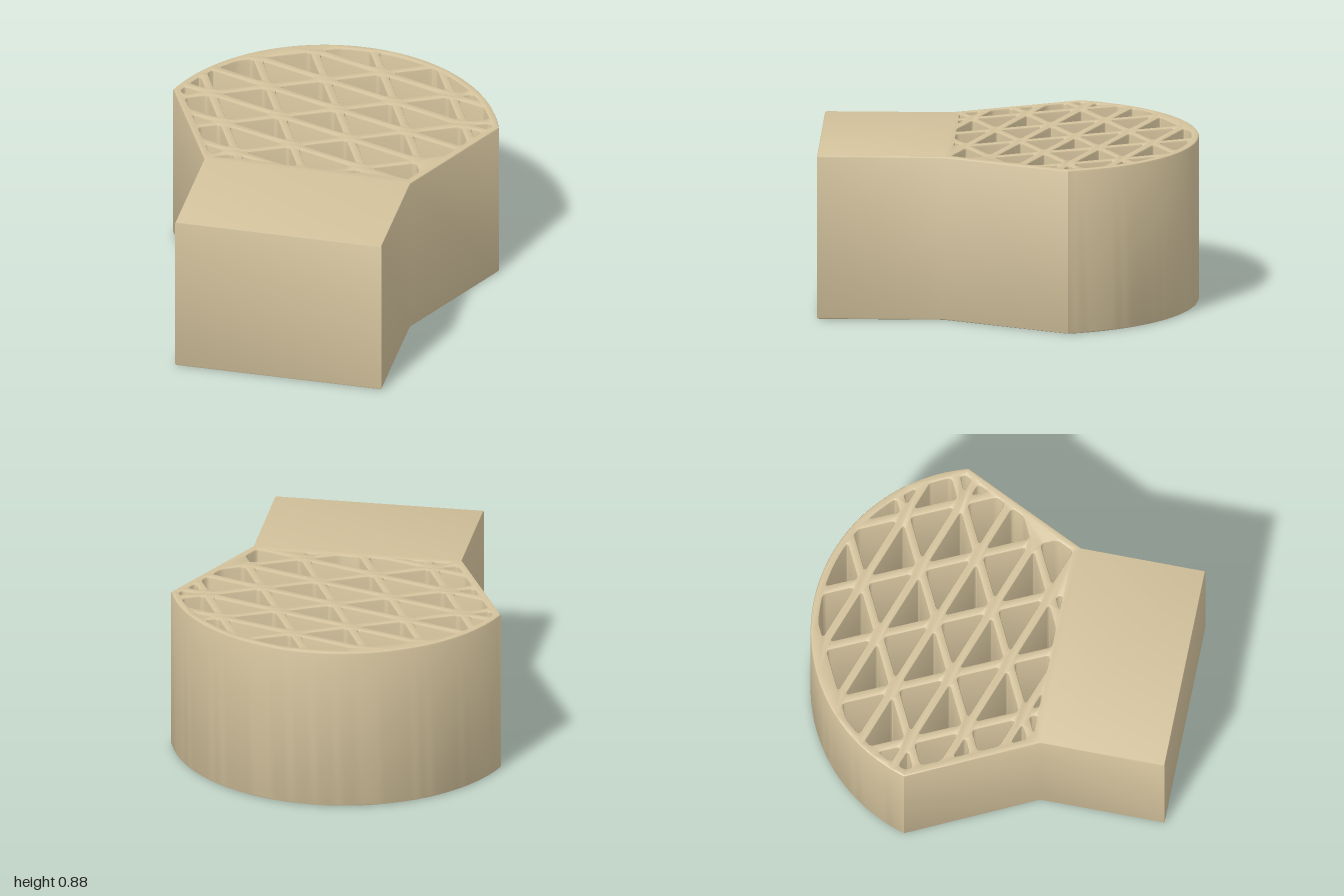
import * as THREE from 'three';
import { toCreasedNormals } from 'three/addons/utils/BufferGeometryUtils.js';

const HEIGHT = 0.885, BEVEL = 0.01;
const ARC_R = 0.923, ARC_Z = -0.077;   // rounded back of the head
const WALL = 0.042, BAR = 0.046;       // outer wall and lattice bar thickness

const V = (x, z) => new THREE.Vector2(x, z);

// Keep the part of a convex polygon where n.p <= d
function clip(poly, { n, d }) {
  const out = [];
  poly.forEach((p, i) => {
    const q = poly[(i + 1) % poly.length];
    const a = n.dot(p) - d, b = n.dot(q) - d;
    if (a <= 0) out.push(p);
    if (a * b < 0) out.push(p.clone().lerp(q, a / (a - b)));
  });
  return out.filter((p, i) => p.distanceTo(out[(i + 1) % out.length]) > 0.004);
}

// Half-plane left of the edge p to q, on the side of c, moved inwards
function edgePlane(p, q, c, inset) {
  const n = V(q.y - p.y, p.x - q.x).normalize();
  if (n.dot(c) > n.dot(p)) n.negate();
  return { n, d: n.dot(p) - inset };
}

// Inside of the head: curved back, flared sides, front limit at the solid block
function headPlanes() {
  const c = V(0, -0.1), planes = [{ n: V(0, 1), d: 0.285 }];
  for (const s of [1, -1]) planes.push(edgePlane(V(s * 0.56, 0.33), V(s * 0.885, -0.34), c, WALL));
  for (let deg = 196; deg <= 344; deg += 4) {
    const t = THREE.MathUtils.degToRad(deg), n = V(Math.cos(t), Math.sin(t));
    planes.push({ n, d: n.y * ARC_Z + ARC_R - WALL });
  }
  return planes;
}

// Closed path through a polygon with its corners rounded
function roundedPath(poly, radius) {
  const path = new THREE.Path();
  poly.forEach((p, i) => {
    const k = poly.length, prev = poly[(i + k - 1) % k], next = poly[(i + 1) % k];
    const towards = (o) => p.clone().lerp(o, Math.min(radius / p.distanceTo(o), 0.4));
    const a = towards(prev), b = towards(next);
    if (i === 0) path.moveTo(a.x, -a.y);
    else path.lineTo(a.x, -a.y);
    path.quadraticCurveTo(p.x, -p.y, b.x, -b.y);
  });
  path.closePath();
  return path;
}

// Triangular cells of a skewed grid, cut off at the head wall
function latticeHoles() {
  const planes = headPlanes(), holes = [];
  const node = (i, j) => V(0.008 + 0.278 * i + 0.132 * j, -0.344 - 0.1375 * i + 0.283 * j);
  for (let i = -6; i <= 6; i++) for (let j = -6; j <= 6; j++) {
    for (const third of [node(i + 1, j), node(i, j + 1)]) {
      const tri = [node(i, j), third, node(i + 1, j + 1)];
      const c = tri[0].clone().add(tri[1]).add(tri[2]).divideScalar(3);
      const inset = tri.map((p, k) => edgePlane(p, tri[(k + 1) % 3], c, BAR / 2));
      const cell = [...inset, ...planes].reduce(clip0, tri);
      if (cell.length > 2 && Math.abs(THREE.ShapeUtils.area(cell)) > 0.001) {
        holes.push(roundedPath(cell, 0.022));
      }
    }
  }
  return holes;
}
const clip0 = (poly, plane) => clip(poly, plane);

export function createModel() {
  // Outline: square block at the front, flared sides, round back
  const shape = new THREE.Shape();
  shape.moveTo(-0.56, -1);
  shape.lineTo(0.56, -1);
  shape.lineTo(0.56, -0.33);
  shape.lineTo(0.885, 0.34);
  const start = Math.atan2(0.34 + ARC_Z, 0.885), steps = 56;
  for (let i = 1; i <= steps; i++) {
    const t = start + (Math.PI - 2 * start) * i / steps;
    shape.lineTo(ARC_R * Math.cos(t), -ARC_Z + ARC_R * Math.sin(t));
  }
  shape.lineTo(-0.56, -0.33);
  shape.closePath();
  shape.holes = latticeHoles();

  let geo = new THREE.ExtrudeGeometry(shape, {
    depth: HEIGHT - 2 * BEVEL, curveSegments: 4,
    bevelEnabled: true, bevelSize: BEVEL, bevelOffset: -BEVEL, bevelThickness: BEVEL, bevelSegments: 2,
  });
  geo.translate(0, 0, BEVEL);
  geo.rotateX(-Math.PI / 2);
  geo = toCreasedNormals(geo, 0.6);

  const body = new THREE.Mesh(geo, new THREE.MeshStandardMaterial({ color: 0xd2c19b }));
  body.name = 'blockWithLatticeHead';
  const group = new THREE.Group();
  group.name = 'latticeBlock';
  group.add(body);
  return group;
}
